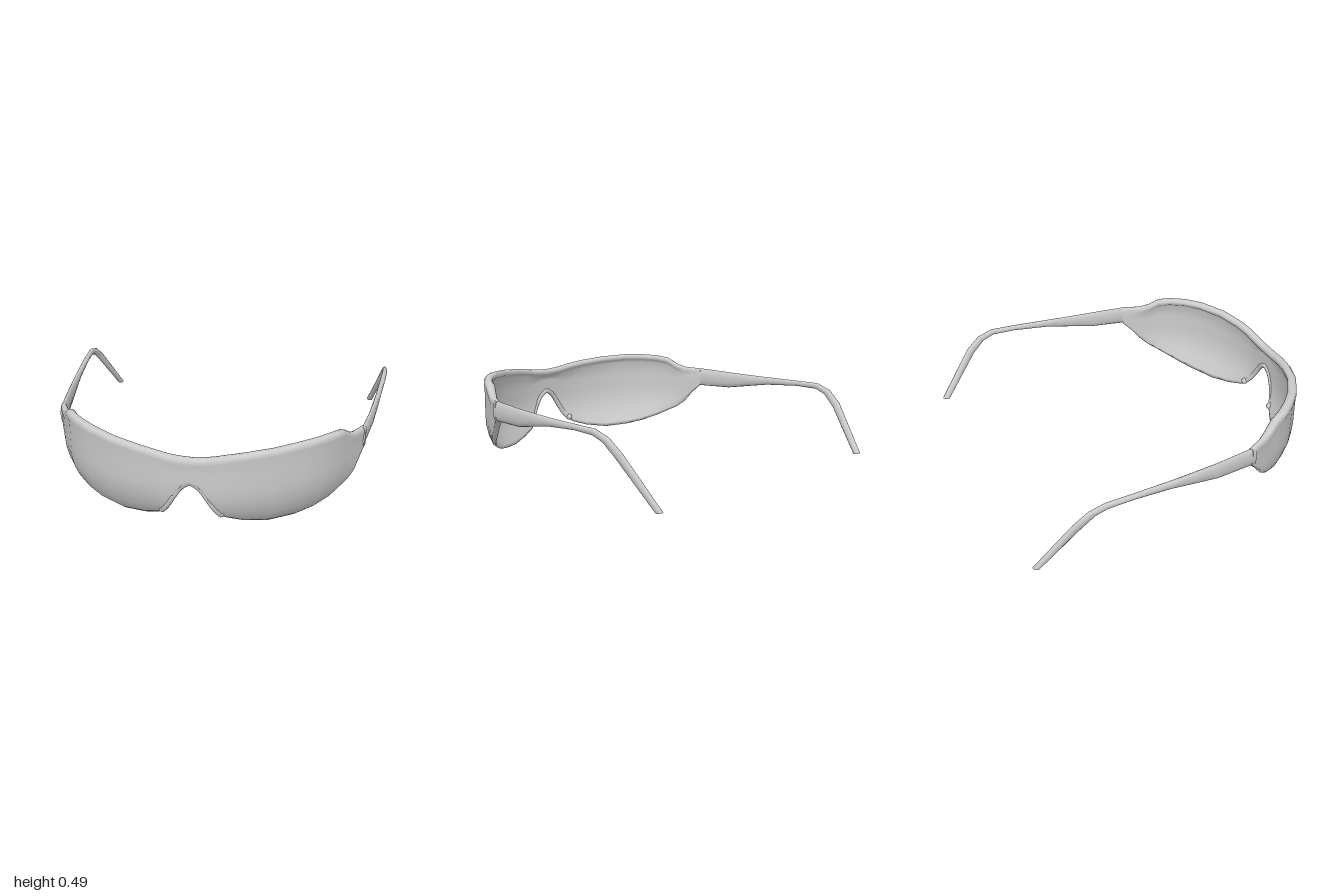
import * as THREE from 'three';

const material = new THREE.MeshStandardMaterial({ color: 0xcccccc, side: THREE.DoubleSide });

// Skin a list of closed cross-section rings and cap both ends
function loft(name, rings) {
  const n = rings[0].length, pos = [], index = [];
  rings.forEach(r => r.forEach(p => pos.push(p.x, p.y, p.z)));
  for (let i = 0; i < rings.length - 1; i++) {
    for (let j = 0; j < n; j++) {
      const a = i * n + j, c = i * n + (j + 1) % n;
      index.push(a, c, a + n, c, c + n, a + n);
    }
  }
  [rings[0], rings[rings.length - 1]].forEach((ring, end) => {
    const base = pos.length / 3;
    const mid = ring.reduce((m, p) => m.add(p), new THREE.Vector3()).divideScalar(n);
    [...ring, mid].forEach(p => pos.push(p.x, p.y, p.z));
    for (let j = 0; j < n; j++) {
      const a = base + j, b = base + (j + 1) % n;
      index.push(base + n, end ? a : b, end ? b : a);
    }
  });
  const geo = new THREE.BufferGeometry();
  geo.setAttribute('position', new THREE.Float32BufferAttribute(pos, 3));
  geo.setIndex(index);
  geo.computeVertexNormals();
  const mesh = new THREE.Mesh(geo, material);
  mesh.name = name;
  return mesh;
}

// Half of the wraparound front: x, z of the outer face, top y, bottom y
const FRONT = [
  [0, 0.965, 0.44, 0.285], [0.05, 0.964, 0.442, 0.265], [0.09, 0.962, 0.445, 0.2],
  [0.13, 0.959, 0.45, 0.125], [0.16, 0.956, 0.455, 0.08], [0.2, 0.951, 0.462, 0.06],
  [0.3, 0.931, 0.475, 0.03], [0.45, 0.88, 0.49, 0.008], [0.6, 0.79, 0.5, 0.018],
  [0.69, 0.71, 0.499, 0.038], [0.76, 0.625, 0.493, 0.07], [0.8, 0.55, 0.48, 0.105],
  [0.83, 0.49, 0.44, 0.135], [0.855, 0.44, 0.42, 0.175], [0.88, 0.385, 0.415, 0.245],
  [0.905, 0.335, 0.412, 0.297],
];

function frontShield() {
  const mirrored = FRONT.slice(1).reverse().map(([x, ...rest]) => [-x, ...rest]);
  const stations = [...mirrored, ...FRONT];
  const rings = stations.map(([x, z, top, bottom], i) => {
    const a = stations[Math.max(i - 1, 0)], b = stations[Math.min(i + 1, stations.length - 1)];
    const out = new THREE.Vector3(a[1] - b[1], 0, b[0] - a[0]).normalize();
    const blend = THREE.MathUtils.smoothstep(Math.abs(x), 0.78, 0.9);
    const brow = THREE.MathUtils.lerp(0.054, 0.036, blend);
    const lens = THREE.MathUtils.lerp(0.022, 0.036, blend);
    // The lens leans inward towards its lower edge
    const point = (y, depth) => {
      const lean = (1 - blend) * 0.1 * Math.pow(Math.max(0, 0.25 - y) / 0.25, 2);
      return new THREE.Vector3(x, y, z).addScaledVector(out, -depth - lean);
    };
    const under = top - 0.055;
    const lensY = f => THREE.MathUtils.lerp(under, bottom, f);
    const steps = [0, 0.2, 0.4, 0.6, 0.8, 0.95];
    return [
      // Rounded brow, outside
      point(top, brow * 0.5), point(top - 0.004, brow * 0.2), point(top - 0.015, 0.002),
      point(top - 0.035, 0),
      // Lens outside, lower edge, lens inside
      ...steps.map(f => point(lensY(f), 0.004)),
      point(bottom, 0.004 + lens / 2),
      ...steps.slice().reverse().map(f => point(lensY(f), 0.004 + lens)),
      // Rounded brow, inside
      point(top - 0.035, brow * 0.97), point(top - 0.015, brow), point(top - 0.004, brow * 0.82),
    ];
  });
  return loft('frontShield', rings);
}

// Temple arm: x, top z, top y, bottom z, bottom y, thickness
const ARM = [
  [0.882, 0.36, 0.412, 0.36, 0.292, 0.034], [0.891, 0.31, 0.412, 0.31, 0.295, 0.036],
  [0.921, 0.1, 0.405, 0.1, 0.3, 0.034], [0.938, -0.05, 0.402, -0.05, 0.325, 0.033],
  [0.954, -0.2, 0.4, -0.2, 0.35, 0.032], [0.974, -0.43, 0.4, -0.43, 0.366, 0.032],
  [0.983, -0.585, 0.4, -0.575, 0.362, 0.03], [0.979, -0.68, 0.368, -0.645, 0.335, 0.03],
  [0.966, -0.765, 0.296, -0.72, 0.265, 0.032], [0.893, -0.975, 0.015, -0.932, 0.008, 0.038],
];

function temple(side, name) {
  const rings = ARM.map(([x, tz, ty, bz, by, thick]) => {
    const ring = [];
    for (let j = 0; j < 12; j++) {
      const a = (j / 12) * Math.PI * 2, t = (1 + Math.cos(a)) / 2;
      ring.push(new THREE.Vector3(
        side * (x + Math.sin(a) * thick / 2),
        THREE.MathUtils.lerp(by, ty, t), THREE.MathUtils.lerp(bz, tz, t)));
    }
    return ring;
  });
  return loft(name, side > 0 ? rings : rings.reverse());
}

// Soft arch lining the nose cut-out, with a pad at each foot
function noseRest() {
  const group = new THREE.Group();
  group.name = 'noseRest';
  const half = [[0.165, 0.085, 0.9], [0.13, 0.135, 0.925], [0.09, 0.205, 0.94], [0.05, 0.262, 0.943]];
  const pts = [
    ...half.map(([x, y, z]) => new THREE.Vector3(-x, y, z)),
    new THREE.Vector3(0, 0.29, 0.943),
    ...half.slice().reverse().map(p => new THREE.Vector3(...p)),
  ];
  const arch = new THREE.Mesh(
    new THREE.TubeGeometry(new THREE.CatmullRomCurve3(pts), 32, 0.016, 8), material);
  arch.name = 'noseArch';
  group.add(arch);
  for (const s of [-1, 1]) {
    const pad = new THREE.Mesh(new THREE.SphereGeometry(0.02, 12, 8), material);
    pad.name = s > 0 ? 'leftNosePad' : 'rightNosePad';
    pad.scale.set(1, 1, 1.2);
    pad.position.set(s * 0.163, 0.093, 0.897);
    group.add(pad);
  }
  return group;
}

export function createModel() {
  const model = new THREE.Group();
  model.name = 'sunglasses';
  model.add(frontShield(), noseRest(), temple(1, 'leftTemple'), temple(-1, 'rightTemple'));
  return model;
}
